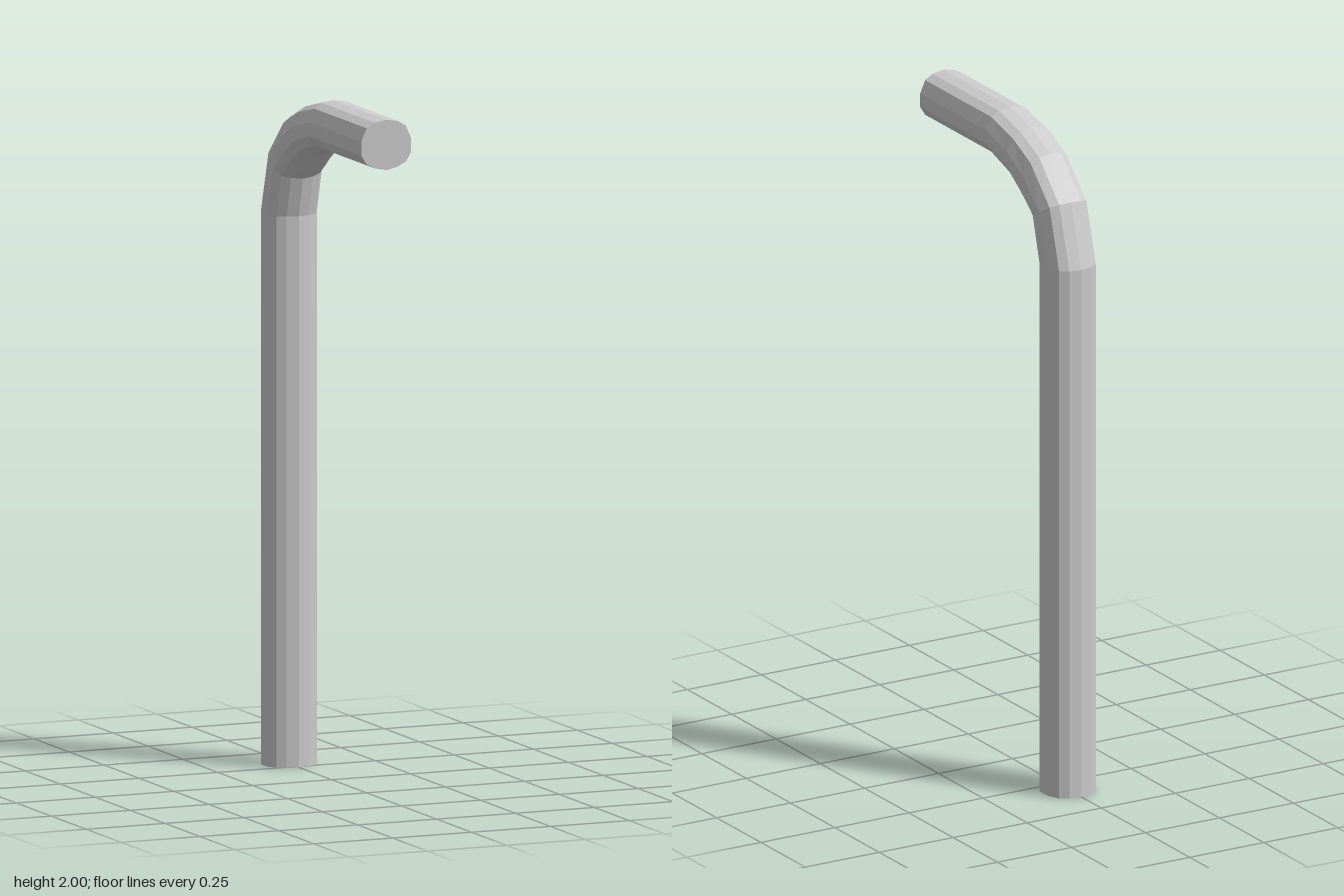
import * as THREE from 'three';

export function createModel() {
  const group = new THREE.Group();
  group.name = 'bentRod';

  // Right half of the cross-section: [x, v], v = 1 outside the bend, -1 inside
  const half = [[0, -1], [0.035, -0.9], [0.062, -0.72], [0.079, -0.35],
    [0.079, 0.2], [0.062, 0.72], [0.037, 0.92], [0, 1]];
  const mirrored = half.slice(1, -1).reverse().map(([x, v]) => [-x, v]);
  const profile = [...half, ...mirrored];

  // Sections along the rod: outer z, y and inner z, y
  const sections = [
    [0.39, 2.0, 0.39, 1.852],
    [0.016, 2.0, 0.016, 1.852],
    [-0.105, 1.972, -0.085, 1.82],
    [-0.215, 1.925, -0.14, 1.78],
    [-0.33, 1.81, -0.205, 1.735],
    [-0.388, 1.62, -0.235, 1.62],
    [-0.388, 0, -0.235, 0],
  ];

  const positions = [];
  for (const [oz, oy, iz, iy] of sections) {
    for (const [x, v] of profile) {
      const t = (v + 1) / 2;
      positions.push(x, iy + (oy - iy) * t, iz + (oz - iz) * t);
    }
  }

  // Side faces between neighbouring sections
  const n = profile.length;
  const index = [];
  for (let i = 0; i < sections.length - 1; i++) {
    for (let j = 0; j < n; j++) {
      const a = i * n + j, b = i * n + (j + 1) % n;
      index.push(a, a + n, b, b, a + n, b + n);
    }
  }
  // Flat end caps
  const last = (sections.length - 1) * n;
  for (let j = 1; j < n - 1; j++) {
    index.push(0, j, j + 1, last, last + j + 1, last + j);
  }

  const geometry = new THREE.BufferGeometry();
  geometry.setAttribute('position', new THREE.Float32BufferAttribute(positions, 3));
  geometry.setIndex(index);
  geometry.computeVertexNormals();

  const rod = new THREE.Mesh(geometry,
    new THREE.MeshStandardMaterial({ color: 0xcccccc, flatShading: true }));
  rod.name = 'rod';
  group.add(rod);
  return group;
}
